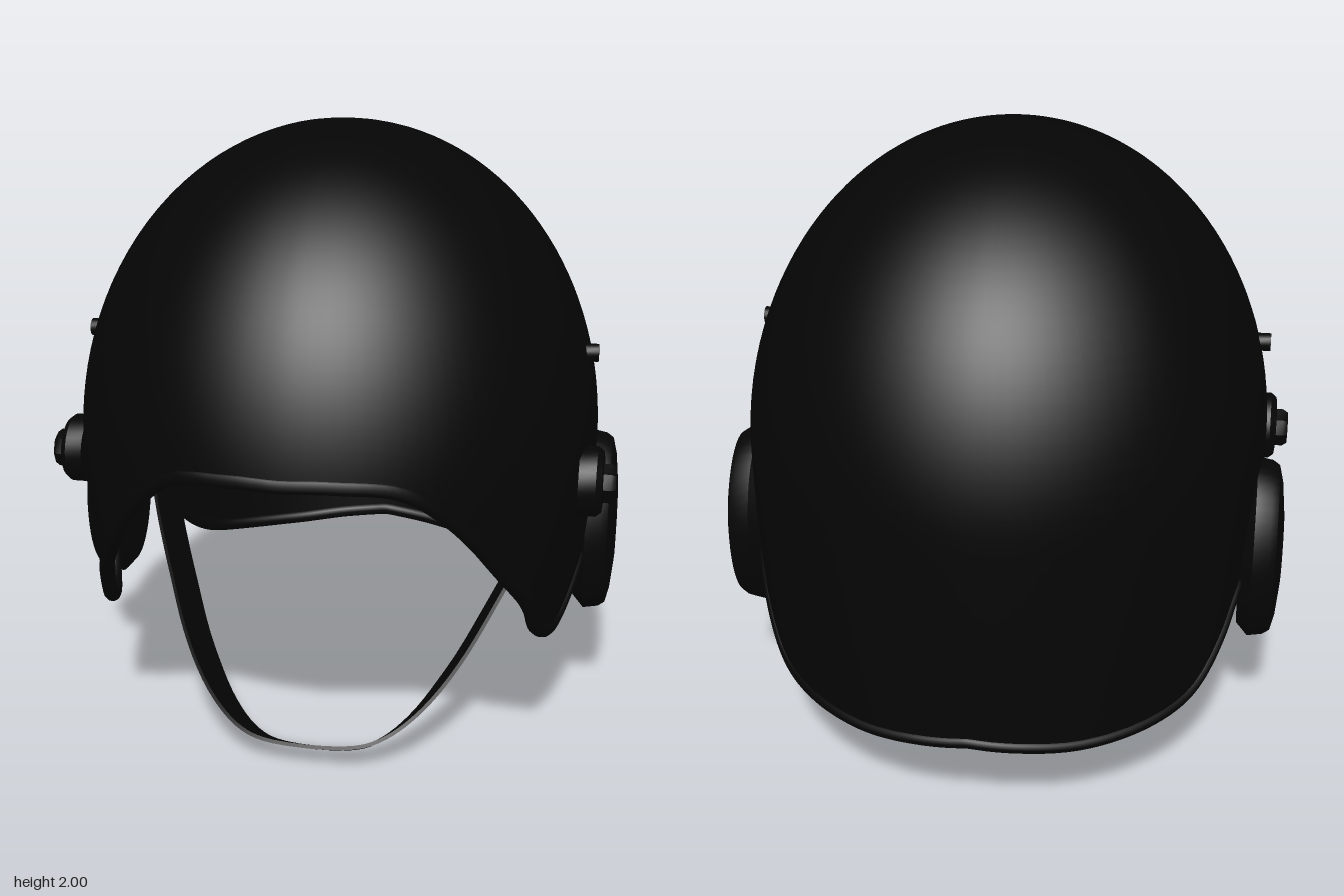
import * as THREE from 'three';
import { mergeVertices, toCreasedNormals } from 'three/addons/utils/BufferGeometryUtils.js';

// Lower edge of one half of the shell: [angle from front, height]
const EDGE = new THREE.SplineCurve([
  [0, 1.1], [0.2, 1.1], [0.425, 1.07], [0.63, 0.94], [0.835, 0.75], [1.01, 0.6], [1.108, 0.49],
  [1.246, 0.43], [1.356, 0.46], [1.486, 0.57], [1.6, 0.63], [1.785, 0.65], [1.964, 0.59],
  [2.07, 0.48], [2.22, 0.36], [2.41, 0.315], [2.7, 0.3], [2.95, 0.315], [Math.PI, 0.33],
].map(([a, y]) => new THREE.Vector2(a, y)));

// Point on the shell: u runs round (-1..1, front at 0), v from lower edge to crown, k scales inward
function shellPoint(u, v, k = 1) {
  const e = EDGE.getPoint(Math.abs(u));
  const angle = e.x * Math.sign(u);
  const a0 = e.y < 1 ? e.y - 1 : Math.asin(e.y - 1);
  const a = a0 + (Math.PI / 2 - a0) * v;
  const y = a < 0 ? 1 + a : 1 + Math.sin(a) * k;
  const r = (a < 0 ? 1 : Math.cos(a)) * k;
  // the sides draw in towards the bottom, less so at the fuller back
  const drop = Math.max(0, (1 - y) / 0.6) ** 2;
  const back = THREE.MathUtils.smoothstep(e.x, 1.3, 2.1);
  const full = 1 + 0.03 * back * Math.sin(2 * e.x) ** 2;
  const taper = 1 - THREE.MathUtils.lerp(0.09, 0.03, back) * drop;
  return [0.85 * r * full * taper * Math.sin(angle), y, 0.942 * r * (1 - 0.012 * drop) * Math.cos(angle)];
}

// Surface from a grid of points
function gridGeometry(cols, rows, fn) {
  const pos = [], index = [];
  for (let j = 0; j <= rows; j++) {
    for (let i = 0; i <= cols; i++) pos.push(...fn(i / cols, j / rows));
  }
  for (let j = 0; j < rows; j++) {
    for (let i = 0; i < cols; i++) {
      const a = j * (cols + 1) + i, d = a + cols + 1;
      index.push(a, a + 1, d, a + 1, d + 1, d);
    }
  }
  let g = new THREE.BufferGeometry();
  g.setAttribute('position', new THREE.Float32BufferAttribute(pos, 3));
  g.setIndex(index);
  g = mergeVertices(g, 1e-5);
  g.computeVertexNormals();
  return g;
}

// Turned part whose axis points along +x; profile is [radius, x]
function turned(profile, segments, ry = 1, rz = 1) {
  const g = new THREE.LatheGeometry(profile.map(([r, h]) => new THREE.Vector2(r, h)), segments);
  g.rotateZ(-Math.PI / 2);
  g.scale(1, ry, rz);
  return toCreasedNormals(g, 0.6);
}

export function createModel() {
  const group = new THREE.Group();
  const black = new THREE.MeshStandardMaterial({ color: 0x050505, side: THREE.DoubleSide });
  black.name = 'black';
  const add = (name, geometry, x = 0, y = 0, z = 0, parent = group) => {
    const m = new THREE.Mesh(geometry, black);
    m.name = name;
    m.position.set(x, y, z);
    parent.add(m);
  };

  // Dome and inner lining
  add('shell', gridGeometry(128, 40, (i, j) => shellPoint(i * 2 - 1, j)));
  add('lining', gridGeometry(128, 32, (i, j) => shellPoint(1 - i * 2, j, 0.975)));

  // Rolled trim along the lower edge
  const rimPoints = [];
  for (let i = 0; i < 96; i++) rimPoints.push(new THREE.Vector3(...shellPoint(i / 48 - 1, 0, 0.985)));
  add('edgeTrim', new THREE.TubeGeometry(new THREE.CatmullRomCurve3(rimPoints, true), 240, 0.024, 10, true));

  // Ear cups, snap knobs and studs on both sides
  const cup = turned([[0, 0.795], [0.86, 0.79], [1, 0.828], [0.97, 0.878], [0.92, 0.9],
    [0.75, 0.913], [0.4, 0.924], [0, 0.926]], 48, 0.317, 0.216);
  const knobBase = turned([[0, 0.81], [0.112, 0.81], [0.112, 0.865], [0.098, 0.883], [0.075, 0.886],
    [0.07, 0.876], [0, 0.876]], 32);
  const knob = turned([[0, 0.86], [0.066, 0.86], [0.066, 0.91], [0.055, 0.925], [0, 0.925]], 8);
  const stud = turned([[0, 0.795], [0.029, 0.795], [0.029, 0.845], [0, 0.845]], 16);
  for (const [side, turn] of [['left', 0], ['right', Math.PI]]) {
    const g = new THREE.Group();
    g.name = side + 'Fittings';
    g.rotation.y = turn;
    const s = turn ? -1 : 1;
    add('earCup', cup, 0, 0.645, -0.15 * s, g);
    add('knobBase', knobBase, 0, 0.918, 0.22 * s, g);
    add('knob', knob, 0, 0.913, 0.22 * s, g);
    add('stud', stud, 0, 1.293, 0.055 * s, g);
    group.add(g);
  }

  // Chin strap: a flat band swept from ear to ear, its front edge flaring outward up the sides
  const half = [[0.13, 0.046, 0.506], [0.22, 0.07, 0.48], [0.32, 0.135, 0.41], [0.435, 0.265, 0.28],
    [0.54, 0.43, 0.11], [0.62, 0.57, -0.03], [0.68, 0.69, -0.15]];
  const path = new THREE.CatmullRomCurve3([
    ...half.map(([x, y, z]) => new THREE.Vector3(-x, y, z)).reverse(),
    ...half.map(p => new THREE.Vector3(...p)),
  ]);
  const corners = [[-1, -1], [1, -1], [1, 1], [-1, 1], [-1, -1]];
  const strap = gridGeometry(4, 64, (i, j) => {
    const [w, t] = corners[Math.round(i * 4)];
    const p = path.getPoint(j);
    const flare = 0.024 * THREE.MathUtils.clamp(p.x / 0.4, -1, 1);
    const width = new THREE.Vector3(flare, 0.0375, 0.065);
    const out = path.getTangent(j).cross(width).normalize();
    return p.addScaledVector(width, w).addScaledVector(out, t * 0.006).toArray();
  });
  add('chinStrap', toCreasedNormals(strap, 0.6));

  return group;
}
